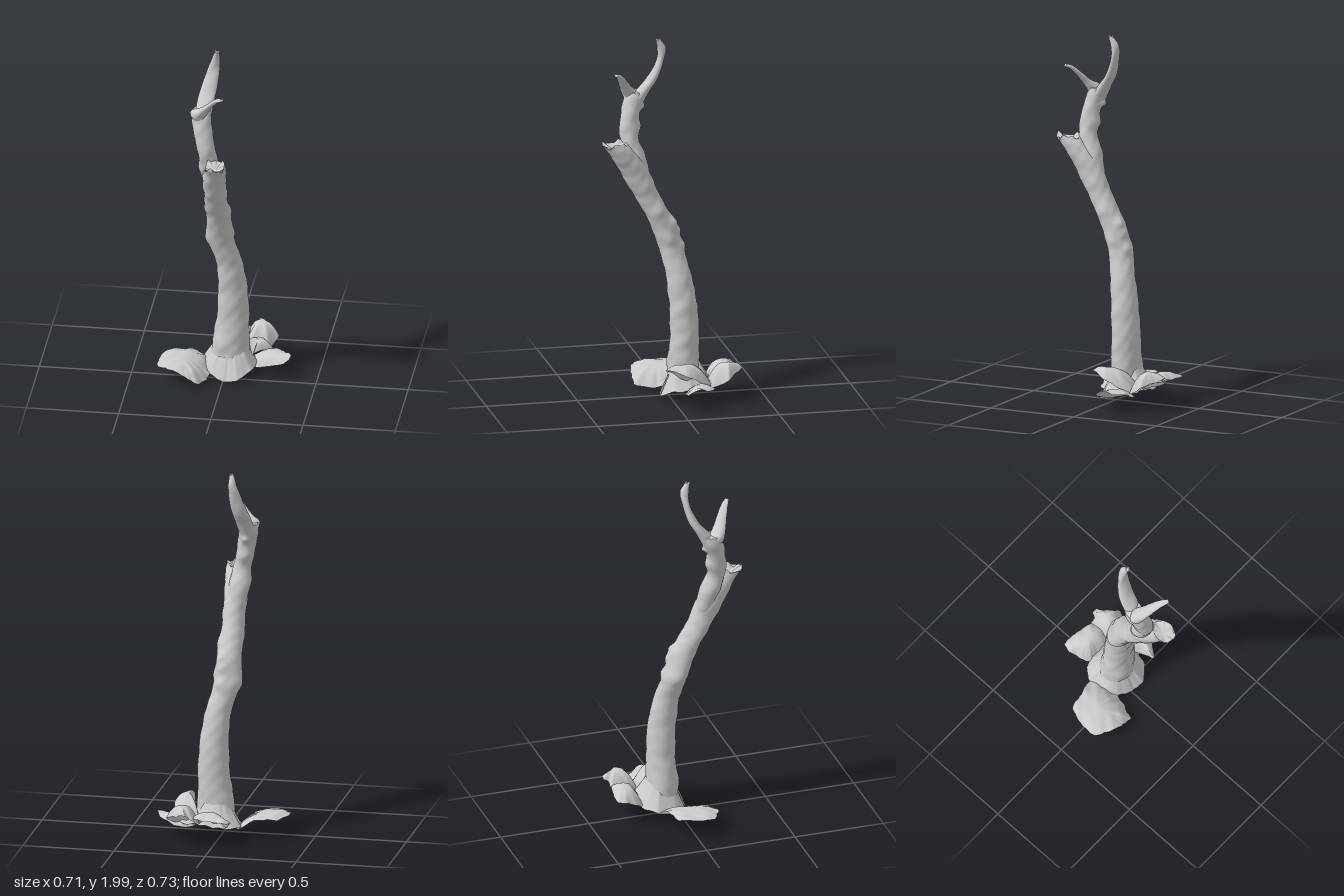
import * as THREE from 'three';

const material = new THREE.MeshStandardMaterial({ color: 0xcccccc, roughness: 0.9, side: THREE.DoubleSide });

// smooth repeatable relief, roughly -1..1
const relief = (x, y, z) =>
  0.45 * Math.sin(23 * x + 4 * Math.sin(6 * y)) * Math.sin(19 * y + 13 * z) +
  0.35 * Math.sin(47 * z + 11 * x + 2) * Math.sin(33 * y - 21 * x + 1) +
  0.3 * Math.sin(83 * x + 41 * z) * Math.sin(67 * y + 29 * z);

// knots and torn snags that swell the bark: x, y, z, radius, height
const knots = [
  [0, 0.93, -0.045, 0.035, 0.018], [0.01, 0.85, -0.08, 0.035, 0.018], [0.01, 0.98, -0.02, 0.025, 0.018],
  [-0.095, 0.84, 0, 0.045, 0.012], [0.05, 0.88, 0.0, 0.03, 0.012], [0.04, 1.04, 0.05, 0.03, 0.008],
  [-0.085, 1.07, 0.09, 0.03, 0.008], [-0.09, 1.6, 0.12, 0.018, 0.025], [-0.07, 1.5, 0.15, 0.03, 0.014],
  [-0.085, 1.36, 0.18, 0.035, 0.014], [-0.14, 1.69, 0.19, 0.025, 0.016], [-0.02, 0.2, -0.01, 0.04, 0.01]
];
const swelling = p => knots.reduce((sum, [x, y, z, r, h]) =>
  sum + h * Math.exp(-((p.x - x) ** 2 + (p.y - y) ** 2 + (p.z - z) ** 2) / (r * r)), 0);

function makeMesh(name, positions, indices) {
  const g = new THREE.BufferGeometry();
  g.setAttribute('position', new THREE.Float32BufferAttribute(positions, 3));
  g.setIndex(indices);
  g.computeVertexNormals();
  const mesh = new THREE.Mesh(g, material);
  mesh.name = name;
  return mesh;
}

// limb lofted through sections [x, y, z, radiusX, radiusZ]; lean sets rings square to the path
function limb(name, sections, { rings = 50, sides = 32, rough = 0.005, jag = 0, lean = false, hollow = 0 } = {}) {
  const path = new THREE.CatmullRomCurve3(sections.map(s => new THREE.Vector3(s[0], s[1], s[2])));
  const radii = new THREE.CatmullRomCurve3(sections.map(s => new THREE.Vector3(s[3], s[4], 0)));
  const pos = [], idx = [];
  for (let i = 0; i <= rings; i++) {
    const c = path.getPoint(i / rings), r = radii.getPoint(i / rings);
    const t = path.getTangent(i / rings);
    const u = new THREE.Vector3(1, 0, 0), v = new THREE.Vector3(0, 0, 1);
    if (lean) {
      u.set(t.z, 0, -t.x).normalize();
      v.crossVectors(u, t);
    }
    for (let j = 0; j < sides; j++) {
      const a = j / sides * Math.PI * 2;
      const p = c.clone().addScaledVector(u, Math.cos(a) * r.x).addScaledVector(v, Math.sin(a) * r.y);
      const push = rough * relief(p.x, p.y, p.z) + swelling(p);
      p.addScaledVector(p.clone().sub(c).normalize(), push);
      if (i === rings) p.y += jag * (Math.sin(a * 3 + 2.6) + 0.6 * Math.sin(a * 7 + 1));
      pos.push(p.x, p.y, p.z);
    }
  }
  for (let i = 0; i < rings; i++) for (let j = 0; j < sides; j++) {
    const a = i * sides + j, b = i * sides + (j + 1) % sides;
    idx.push(a, a + sides, b, b, a + sides, b + sides);
  }
  // broken end, sunk by the hollow depth
  const end = path.getPoint(1), tip = pos.length / 3, last = rings * sides;
  pos.push(end.x, end.y - hollow, end.z);
  for (let j = 0; j < sides; j++) idx.push(last + j, tip, last + (j + 1) % sides);
  return makeMesh(name, pos, idx);
}

// ragged shell from a closed rim up to a crown; a higher bend is a flatter dome, start leaves a hole
function shell(name, rim, crown, { bend = 2.4, start = 0, rough = 0.012 } = {}) {
  const curve = new THREE.CatmullRomCurve3(rim.map(p => new THREE.Vector3(...p)), true, 'catmullrom', 0.3);
  const top = new THREE.Vector3(...crown), rings = 16, n = 80, pos = [], idx = [];
  for (let i = 0; i <= rings; i++) for (let j = 0; j < n; j++) {
    const t = start + (1 - start) * i / rings, e = curve.getPoint(j / n);
    const k = t * (1 + 0.5 * rough * relief(e.x * 2, 0.3, e.z * 2) / 0.1);
    const x = top.x + (e.x - top.x) * k, z = top.z + (e.z - top.z) * k;
    const y = e.y + (top.y - e.y) * (1 - Math.pow(t, bend));
    pos.push(x, Math.max(0, y + t * rough * relief(x, 0.4, z)), z);
  }
  for (let i = 0; i < rings; i++) for (let j = 0; j < n; j++) {
    const a = i * n + j, b = i * n + (j + 1) % n;
    idx.push(a, b, a + n, b, b + n, a + n);
  }
  return makeMesh(name, pos, idx);
}

export function createModel() {
  const group = new THREE.Group();

  // main trunk, leaning forward into a broken stub
  group.add(limb('trunk', [
    [0.028, 0.13, -0.08, 0.104, 0.09], [0.03, 0.22, -0.08, 0.098, 0.082], [0.04, 0.36, -0.08, 0.088, 0.078],
    [0.04, 0.52, -0.073, 0.08, 0.076], [0.02, 0.7, -0.048, 0.071, 0.068], [-0.02, 0.85, -0.01, 0.072, 0.066],
    [-0.02, 1.0, 0.045, 0.067, 0.07], [-0.025, 1.1, 0.1, 0.063, 0.07], [-0.025, 1.2, 0.15, 0.062, 0.077],
    [-0.022, 1.3, 0.2, 0.064, 0.08], [-0.013, 1.37, 0.25, 0.058, 0.072], [-0.008, 1.425, 0.295, 0.052, 0.068]
  ], { rings: 130, sides: 44, jag: 0.012, hollow: 0.03 }));

  // upper branch rising behind the stub
  group.add(limb('upperBranch', [
    [-0.03, 1.2, 0.135, 0.05, 0.05], [-0.045, 1.34, 0.17, 0.055, 0.055], [-0.06, 1.44, 0.2, 0.05, 0.052],
    [-0.08, 1.55, 0.195, 0.052, 0.052], [-0.095, 1.64, 0.17, 0.052, 0.055], [-0.098, 1.69, 0.155, 0.046, 0.05]
  ], { rings: 60 }));

  // forked prongs, the rear one broad and flat
  group.add(limb('rearProng', [
    [-0.095, 1.62, 0.165, 0.04, 0.045], [-0.085, 1.7, 0.115, 0.046, 0.034], [-0.072, 1.77, 0.068, 0.044, 0.027],
    [-0.052, 1.86, 0.036, 0.036, 0.02], [-0.038, 1.94, 0.028, 0.022, 0.024], [-0.03, 1.99, 0.048, 0.011, 0.014]
  ], { rough: 0.003, jag: 0.005 }));
  group.add(limb('frontProng', [
    [-0.09, 1.6, 0.18, 0.04, 0.04], [-0.105, 1.67, 0.19, 0.042, 0.036], [-0.075, 1.715, 0.215, 0.036, 0.022],
    [-0.035, 1.765, 0.243, 0.028, 0.015], [0.0, 1.803, 0.268, 0.02, 0.012], [0.032, 1.82, 0.292, 0.012, 0.008]
  ], { rough: 0.003, lean: true }));

  // flared root collar, open beneath the trunk
  group.add(shell('rootCollar', [
    [0, 0.008, 0.05], [0.08, 0.03, 0.055], [0.145, 0.06, 0.01], [0.165, 0.075, -0.1], [0.11, 0.09, -0.21],
    [-0.04, 0.09, -0.225], [-0.125, 0.07, -0.15], [-0.1, 0.035, -0.01]
  ], [0.03, 0.35, -0.08], { bend: 0.9, start: 0.55 }));

  // thin curled slabs of ground around the base
  group.add(shell('rightSlab', [
    [-0.08, 0.04, -0.02], [-0.1, 0.06, -0.14], [-0.2, 0.11, -0.12], [-0.31, 0.11, -0.095], [-0.345, 0.105, -0.02],
    [-0.345, 0.1, 0.09], [-0.27, 0.11, 0.145], [-0.19, 0.08, 0.165], [-0.12, 0.04, 0.155], [-0.08, 0.02, 0.05]
  ], [-0.23, 0.125, 0.01]));
  group.add(shell('rearSlab', [
    [-0.095, 0.14, -0.31], [-0.085, 0.15, -0.365], [0.01, 0.16, -0.36], [0.1, 0.16, -0.335], [0.125, 0.14, -0.28],
    [0.1, 0.1, -0.21], [0.0, 0.09, -0.2], [-0.06, 0.1, -0.22]
  ], [0.02, 0.19, -0.29]));
  group.add(shell('rearLeftSlab', [
    [0.09, 0.14, -0.335], [0.13, 0.17, -0.345], [0.14, 0.18, -0.372], [0.17, 0.18, -0.37], [0.2, 0.17, -0.335],
    [0.26, 0.15, -0.28], [0.25, 0.13, -0.25], [0.21, 0.1, -0.19], [0.12, 0.09, -0.18], [0.09, 0.1, -0.22]
  ], [0.175, 0.22, -0.29]));
  group.add(shell('leftUprightSlab', [
    [0.17, 0.19, 0.055], [0.21, 0.19, 0.01], [0.26, 0.17, -0.05], [0.245, 0.14, -0.12], [0.19, 0.1, -0.2],
    [0.09, 0.09, -0.2], [0.12, 0.09, -0.13], [0.155, 0.14, -0.04]
  ], [0.19, 0.225, -0.04]));
  group.add(shell('leftSlab', [
    [0.19, 0.08, -0.21], [0.27, 0.1, -0.2], [0.32, 0.11, -0.15], [0.352, 0.125, -0.085], [0.345, 0.11, -0.05],
    [0.26, 0.07, -0.045], [0.17, 0.055, -0.06], [0.13, 0.07, -0.15]
  ], [0.26, 0.125, -0.13]));

  return group;
}
